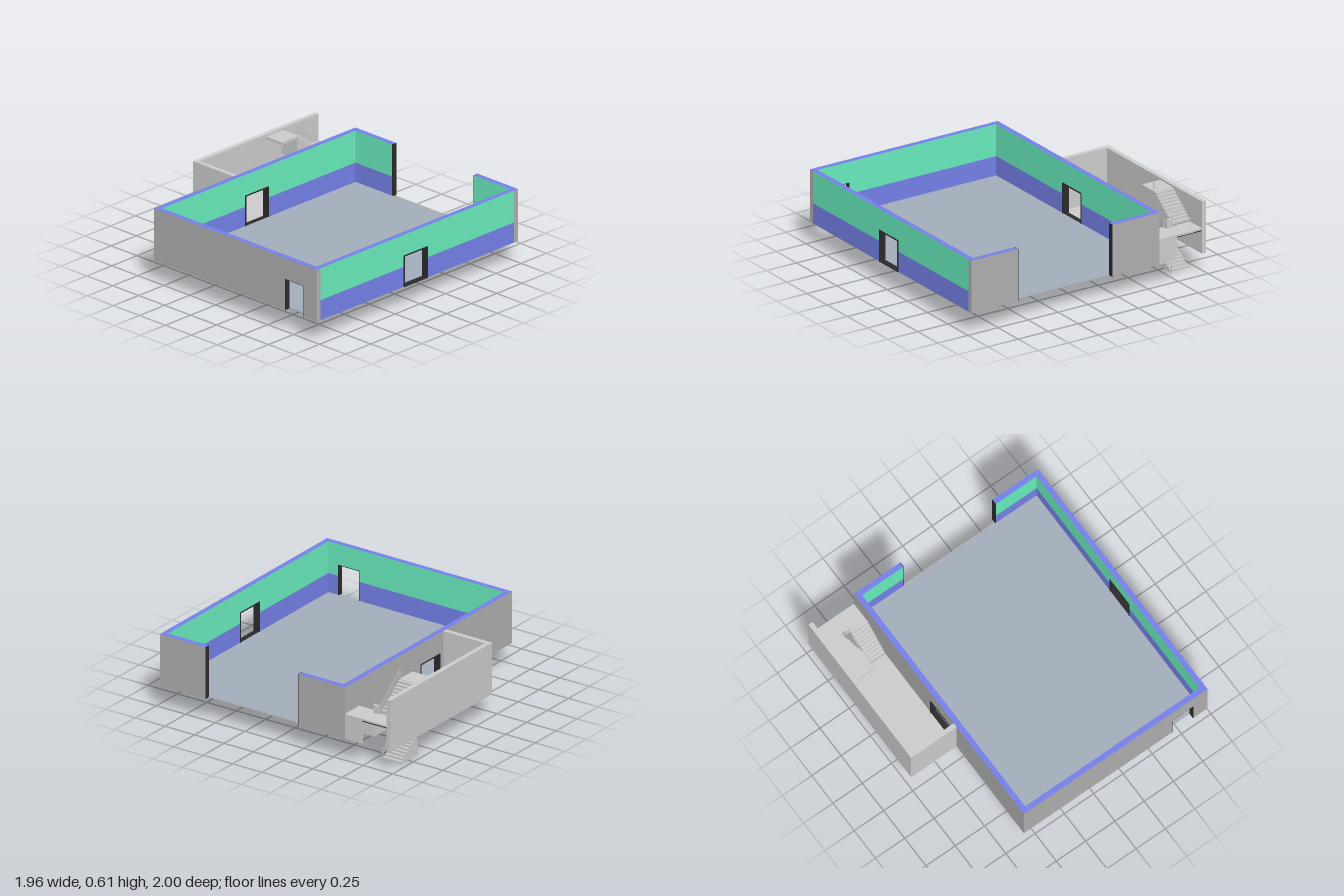
import * as THREE from 'three';

const mat = (color) => new THREE.MeshStandardMaterial({ color, side: THREE.DoubleSide });

export function createModel() {
  const model = new THREE.Group();
  const grey = mat(0xcccccc), wallGrey = mat(0xaeaeae), blue = mat(0x7480e8);
  const green = mat(0x68ecbc), dark = mat(0x2a2a2a), floorMat = mat(0xa3acba);
  const base = 0.16, top = 0.55, split = 0.31, doorTop = 0.393;

  // Box given by its two extreme corners
  function box(name, material, x0, x1, y0, y1, z0, z1, parent = model) {
    const mesh = new THREE.Mesh(new THREE.BoxGeometry(x1 - x0, y1 - y0, z1 - z0), material);
    mesh.position.set((x0 + x1) / 2, (y0 + y1) / 2, (z0 + z1) / 2);
    mesh.name = name;
    parent.add(mesh);
    return mesh;
  }

  // Wall section with two paint bands; painted lists the painted faces (+x -x +y -y +z -z = 0..5)
  function wallPiece(parent, x0, x1, z0, z1, y0, painted) {
    const band = (paint, a, b) => {
      if (b <= a) return;
      const faces = Array.from({ length: 6 }, (_, i) => (painted.includes(i) ? paint : wallGrey));
      if (b === top) faces[2] = blue;
      box(paint === blue ? 'lowerWallBand' : 'upperWallBand', faces, x0, x1, a, b, z0, z1, parent);
    };
    band(blue, y0, split);
    band(green, Math.max(y0, split), top);
  }

  function group(name) {
    const g = new THREE.Group();
    g.name = name;
    model.add(g);
    return g;
  }

  // Main hall
  box('hallFloor', floorMat, -0.556, 0.932, base, base + 0.006, -0.96, 0.96);

  // Side walls with a framed doorway each
  for (const [name, x0, x1, painted] of [
    ['leftSideWall', 0.932, 0.971, [0, 1, 3]],
    ['rightSideWall', -0.596, -0.556, [0, 3]],
  ]) {
    const g = group(name);
    wallPiece(g, x0, x1, -0.96, -0.095, base, painted);
    wallPiece(g, x0, x1, 0.135, 0.96, base, painted);
    wallPiece(g, x0, x1, -0.095, 0.135, doorTop, painted);
    const a = x0 - 0.005, b = x1 + 0.007;
    box('doorJamb', dark, a, b, base, doorTop, -0.096, -0.09, g);
    box('doorJamb', dark, a, b, base, doorTop, 0.13, 0.136, g);
    box('doorHead', dark, a, b, doorTop - 0.005, doorTop + 0.002, -0.096, 0.136, g);
    box('doorSill', dark, a, b, base - 0.001, base + 0.004, -0.096, 0.136, g);
  }

  // Front wall with doorway
  const front = group('frontWall');
  wallPiece(front, -0.596, 0.668, 0.96, 1, base, [5]);
  wallPiece(front, 0.85, 0.971, 0.96, 1, base, [5]);
  wallPiece(front, 0.668, 0.85, 0.96, 1, doorTop, [5]);
  box('doorJamb', dark, 0.667, 0.671, base, doorTop, 0.958, 1, front);
  box('doorJamb', dark, 0.847, 0.851, base, doorTop, 0.958, 1, front);
  box('doorHead', dark, 0.668, 0.85, doorTop - 0.003, doorTop + 0.001, 0.958, 1, front);

  // Back wall with a wide full-height opening
  const back = group('backWall');
  wallPiece(back, -0.596, -0.205, -1, -0.96, base, [4]);
  wallPiece(back, 0.585, 0.971, -1, -0.96, base, [4]);
  box('openingTrim', dark, -0.205, -0.201, base, top, -1, -0.96, back);
  box('openingTrim', dark, 0.581, 0.585, base, top, -1, -0.96, back);
  box('openingSill', wallGrey, -0.201, 0.581, base, base + 0.004, -0.97, -0.96, back);

  // Side annex
  const inner = -0.95, wellL = -0.8, wellR = -0.74, hall = -0.597;
  box('annexFloor', grey, inner, hall, base, base + 0.006, -0.63, 0.175);
  box('annexOuterWall', grey, -0.985, inner, base, top, -1, 0.21);
  box('annexFrontWall', grey, inner, hall, base, top, 0.175, 0.21);
  box('annexBackPanel', grey, wellR, hall, base, 0.34, -1, -0.985);
  box('annexDoorHead', dark, inner, wellR, 0.33, 0.337, -1, -0.985);

  // Solid flight of steps rising from y0 to y1 between z0 (low end) and z1 (high end)
  function stairs(name, x0, x1, y0, y1, z0, z1, steps) {
    const shape = new THREE.Shape();
    shape.moveTo(z0, y0);
    for (let i = 0; i < steps; i++) {
      const y = y0 + ((i + 1) * (y1 - y0)) / steps;
      shape.lineTo(z0 + (i * (z1 - z0)) / steps, y);
      shape.lineTo(z0 + ((i + 1) * (z1 - z0)) / steps, y);
    }
    shape.lineTo(z1, y0);
    const geo = new THREE.ExtrudeGeometry(shape, { depth: x1 - x0, bevelEnabled: false });
    geo.rotateY(-Math.PI / 2); // shape x becomes z
    const mesh = new THREE.Mesh(geo, grey);
    mesh.position.x = x1;
    mesh.name = name;
    model.add(mesh);
  }
  const landing = 0.35;
  stairs('lowerFlight', inner, wellL, 0, 0.143, -0.83, -0.63, 9);
  stairs('middleFlight', wellR, hall, base, landing, -0.635, -0.85, 10);
  stairs('upperFlight', inner, wellL, landing + 0.01, 0.53, -0.85, -0.635, 10);
  box('stairLanding', grey, inner, hall, landing - 0.015, landing, -1, -0.85);
  box('upperPlatform', grey, inner, wellL, 0.515, 0.535, -0.636, -0.48);

  // Thin sloping handrails beside the stair well
  function rail(x, yLow, yHigh, zLow, zHigh) {
    for (const drop of [0, 0.028]) {
      const from = new THREE.Vector3(x, yLow - drop, zLow), to = new THREE.Vector3(x, yHigh - drop, zHigh);
      const geo = new THREE.TubeGeometry(new THREE.LineCurve3(from, to), 1, 0.002, 5);
      const mesh = new THREE.Mesh(geo, grey);
      mesh.name = 'handrail';
      model.add(mesh);
    }
    for (const [y, z] of [[yLow, zLow], [yHigh, zHigh]]) {
      box('railPost', grey, x - 0.002, x + 0.002, y - 0.06, y, z - 0.002, z + 0.002);
    }
  }
  rail(wellL, 0.065, 0.2, -0.845, -0.63);
  rail(wellL, 0.43, 0.61, -0.85, -0.63);
  rail(wellR, 0.42, 0.23, -0.85, -0.63);
  box('landingPost', grey, -0.79, -0.745, landing, 0.41, -0.87, -0.852);

  return model;
}
